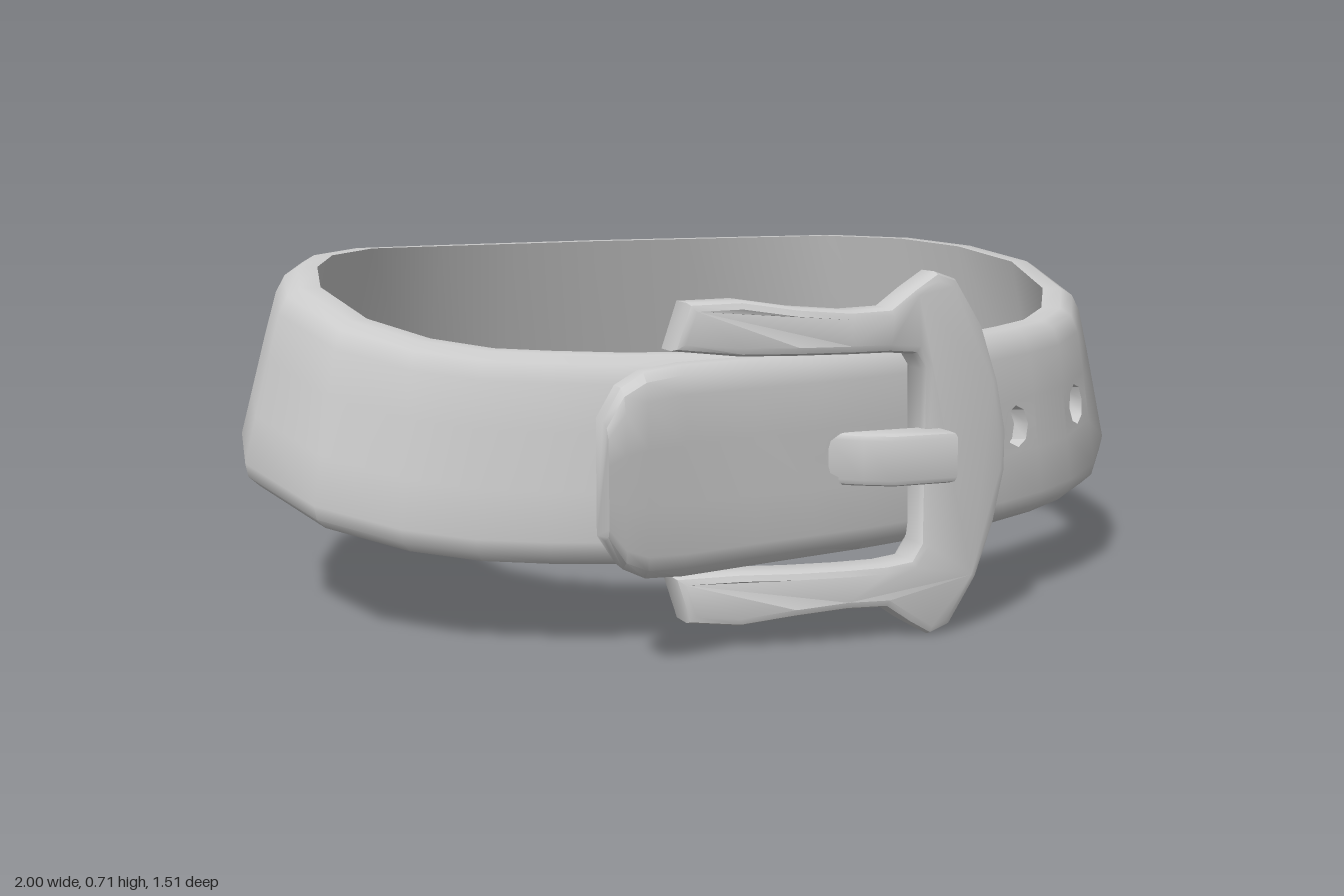
import * as THREE from 'three';
import { toCreasedNormals } from 'three/addons/utils/BufferGeometryUtils.js';

const material = new THREE.MeshStandardMaterial({ color: 0xcccccc });

// Strap stations in plan: [inner top x, z, outer bottom x, z]
const BACK = [0, -0.59, 0, -0.76];
const SIDE = [
  [0.22, -0.575, 0.25, -0.755], [0.41, -0.55, 0.49, -0.72], [0.6, -0.485, 0.73, -0.605],
  [0.73, -0.33, 0.885, -0.41], [0.8, -0.17, 0.965, -0.2], [0.835, 0.01, 1, 0.02],
  [0.79, 0.2, 0.92, 0.27], [0.7, 0.32, 0.79, 0.41], [0.6, 0.395, 0.67, 0.485],
  [0.5, 0.44, 0.55, 0.545], [0.38, 0.49, 0.42, 0.59], [0.2, 0.55, 0.2, 0.645],
];
// Free end crossing over the front: the fifth value scales the height
const TONGUE = [
  [0.05, 0.59, 0.05, 0.672, 1], [-0.07, 0.612, -0.07, 0.685, 1], [-0.2, 0.632, -0.2, 0.698, 1],
  [-0.34, 0.648, -0.35, 0.718, 1], [-0.42, 0.66, -0.43, 0.733, 0.96],
  [-0.468, 0.667, -0.475, 0.74, 0.84], [-0.505, 0.672, -0.51, 0.745, 0.55],
];
// Rounded section: [share of thickness, share of height]
const SECTION = [[0, 0], [0.65, 0], [0.93, 0.05], [1, 0.12], [1, 0.36], [1, 0.64],
  [0.98, 0.87], [0.85, 0.96], [0.55, 1], [0, 1]];
const HOLE_ROW = 4;

// Bottom edge height along z
const BOTTOM = [[-0.76, 0.3], [-0.5, 0.31], [-0.2, 0.295], [0.02, 0.27], [0.27, 0.225],
  [0.48, 0.182], [0.6, 0.173], [0.8, 0.173]];
function bottomAt(z) {
  let i = 0;
  while (i < BOTTOM.length - 2 && z > BOTTOM[i + 1][0]) i++;
  const [z0, y0] = BOTTOM[i], [z1, y1] = BOTTOM[i + 1];
  return THREE.MathUtils.mapLinear(z, z0, z1, y0, y1);
}

function sectionPoints([xi, zi, xo, zo, scale = 1]) {
  const d = new THREE.Vector2(xo - xi, zo - zi);
  const width = d.length(), thick = Math.min(0.075, width);
  d.normalize();
  const height = THREE.MathUtils.mapLinear(zo, -0.76, 0.68, 0.4, 0.387);
  const y0 = bottomAt(zo) + height * (1 - scale) / 2;
  return SECTION.map(([o, v]) => {
    const out = o * thick + Math.min(1, (1 - v) / 0.88) * (width - thick);
    return new THREE.Vector3(xi + d.x * out, y0 + v * height * scale, zi + d.y * out);
  });
}

function makeStrap() {
  const left = SIDE.map(([a, b, c, d]) => [-a, b, -c, d]).reverse();
  const stations = [[-0.04, 0.591, -0.04, 0.664], ...left, BACK, ...SIDE, ...TONGUE];
  const rings = stations.map(sectionPoints);
  const holeStations = [0.79, 0.55, 0.05].map(x => stations.findIndex(s => s[2] === x));
  const pos = [];
  const tri = (...pts) => pts.forEach(p => pos.push(p.x, p.y, p.z));
  const quad = (a, b, c, d) => { tri(a, b, c); tri(a, c, d); };

  // Quad with an eight-sided blind hole
  function holedQuad(a, b, c, d) {
    const at = (u, v) => a.clone().lerp(d, u).lerp(b.clone().lerp(c, u), v);
    const inward = d.clone().sub(a).cross(b.clone().sub(a)).normalize().multiplyScalar(0.035);
    const rim = [[0, 0], [0, 0.5], [0, 1], [0.5, 1], [1, 1], [1, 0.5], [1, 0], [0.5, 0]].map(p => at(...p));
    const edge = rim.map((_, i) => {
      const t = -Math.PI * 0.75 - i * Math.PI / 4;
      return at(0.5 + 0.29 * Math.cos(t), 0.5 + 0.4 * Math.sin(t));
    });
    const floor = edge.map(p => p.clone().add(inward));
    const centre = at(0.5, 0.5).add(inward);
    for (let i = 0; i < 8; i++) {
      const n = (i + 1) % 8;
      quad(rim[i], rim[n], edge[n], edge[i]);
      quad(edge[i], edge[n], floor[n], floor[i]);
      tri(floor[i], floor[n], centre);
    }
  }

  const count = SECTION.length;
  for (let i = 0; i < rings.length - 1; i++) {
    for (let j = 0; j < count; j++) {
      const n = (j + 1) % count, r = rings[i], s = rings[i + 1];
      const face = j === HOLE_ROW && holeStations.includes(i) ? holedQuad : quad;
      face(r[j], r[n], s[n], s[j]);
    }
  }
  const first = rings[0], last = rings[rings.length - 1];
  for (let j = 1; j < count - 1; j++) {
    tri(first[0], first[j + 1], first[j]);
    tri(last[0], last[j], last[j + 1]);
  }
  const geo = new THREE.BufferGeometry();
  geo.setAttribute('position', new THREE.Float32BufferAttribute(pos, 3));
  return toCreasedNormals(geo, 0.75);
}

// Open frame, symmetric about its middle height, with arms swept back along the strap
function makeBuckle() {
  const mid = 0.355;
  const outer = [[-0.315, 0.215], [-0.29, 0.305], [-0.2, 0.31], [-0.1, 0.295], [0, 0.287],
    [0.08, 0.29], [0.13, 0.325], [0.18, 0.355], [0.225, 0.34], [0.285, 0.25], [0.325, 0.14], [0.347, 0.04]];
  const inner = [[0.155, 0.17], [0.135, 0.2], [0.08, 0.205], [0, 0.205], [-0.1, 0.205], [-0.2, 0.205]];
  const flip = list => list.map(([x, y]) => [x, -y]).reverse();
  const outline = [...outer, ...flip(outer), ...flip(inner), ...inner];
  const shape = new THREE.Shape(outline.map(([x, y]) => new THREE.Vector2(x, y + mid)));
  const geo = new THREE.ExtrudeGeometry(shape, {
    depth: 0.045, bevelEnabled: true, bevelSize: 0.016, bevelThickness: 0.016, bevelOffset: -0.016, bevelSegments: 2,
  });
  const p = geo.attributes.position;
  for (let i = 0; i < p.count; i++) {
    const back = Math.max(0, 0.12 - p.getX(i));
    p.setZ(i, p.getZ(i) + 0.646 - 0.62 * back * back);
  }
  return toCreasedNormals(geo, 0.7);
}

// Wedge-shaped pin resting on the frame
function makePin() {
  const shape = new THREE.Shape([[-0.03, 0.665], [0.2, 0.675], [0.2, 0.755], [0.07, 0.742], [0.02, 0.71]]
    .map(([x, z]) => new THREE.Vector2(x, -z)));
  const geo = new THREE.ExtrudeGeometry(shape, {
    depth: 0.076, bevelEnabled: true, bevelSize: 0.012, bevelThickness: 0.012, bevelOffset: -0.012, bevelSegments: 2,
  });
  geo.rotateX(-Math.PI / 2).scale(1, 1, 1);
  geo.translate(0, 0.322, 0);
  return toCreasedNormals(geo, 0.7);
}

export function createModel() {
  const group = new THREE.Group();
  group.name = 'buckledStrap';
  const add = (name, geo) => {
    const mesh = new THREE.Mesh(geo, material);
    mesh.name = name;
    group.add(mesh);
  };
  add('strap', makeStrap());
  add('buckleFrame', makeBuckle());
  add('bucklePin', makePin());
  return group;
}
